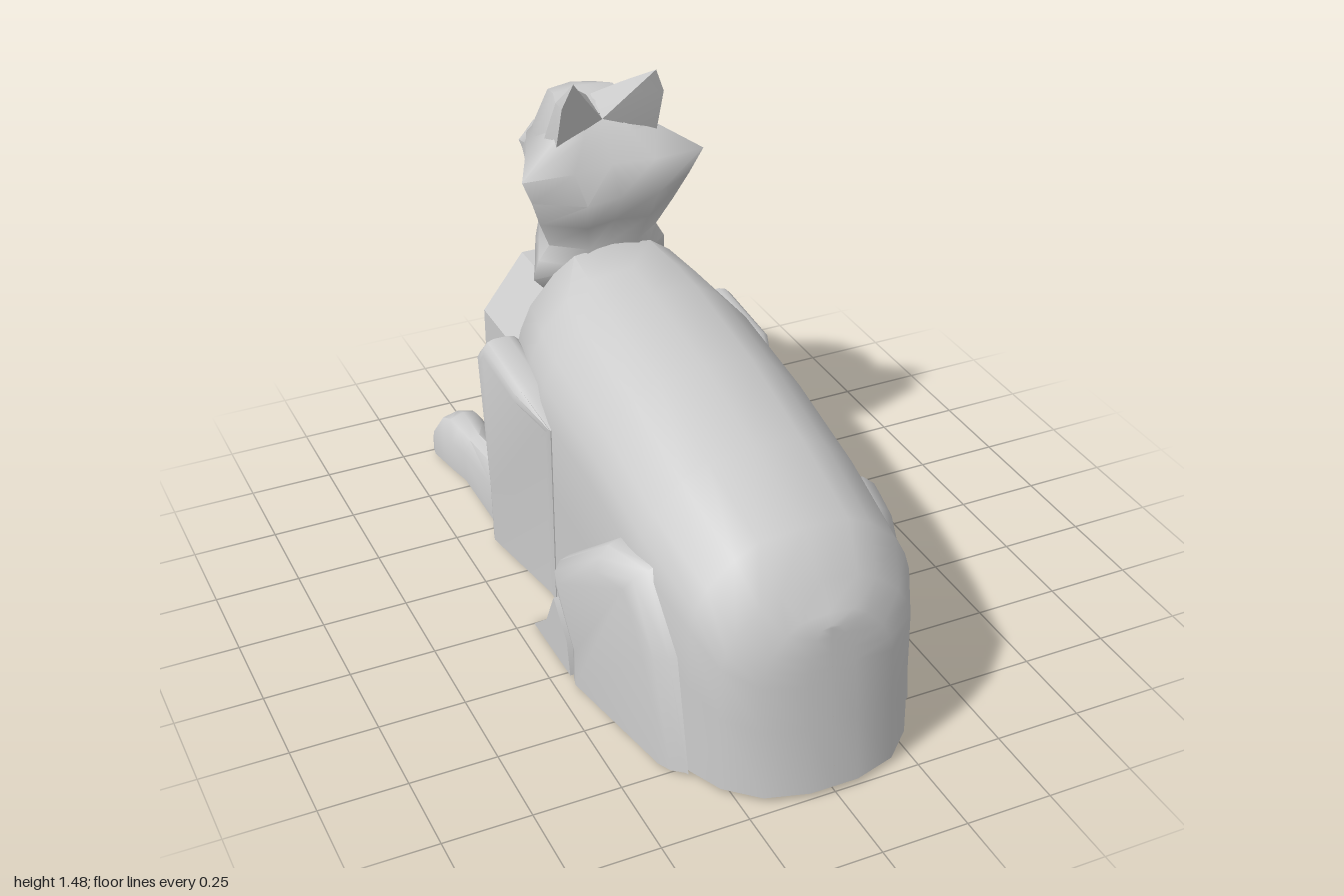
import * as THREE from 'three';
import { toCreasedNormals } from 'three/addons/utils/BufferGeometryUtils.js';

const material = new THREE.MeshStandardMaterial({ color: 0xcccccc, side: THREE.DoubleSide });

function part(parent, name, geometry, crease = 0.7) {
  const mesh = new THREE.Mesh(toCreasedNormals(geometry, crease), material);
  mesh.name = name;
  parent.add(mesh);
  return mesh;
}

// Skin over rings of [x, y, z] points; closed joins each ring's ends, caps fill the end rings
function loft(rings, closed = true, caps = true) {
  const n = rings[0].length, index = [];
  for (let r = 0; r < rings.length - 1; r++) {
    for (let i = 0; i < (closed ? n : n - 1); i++) {
      const j = (i + 1) % n, a = r * n, b = a + n;
      index.push(a + i, a + j, b + j, a + i, b + j, b + i);
    }
  }
  if (caps) {
    const last = (rings.length - 1) * n;
    for (let i = 1; i < n - 1; i++) index.push(0, i + 1, i, last, last + i, last + i + 1);
  }
  const g = new THREE.BufferGeometry();
  g.setAttribute('position', new THREE.Float32BufferAttribute(rings.flat(2), 3));
  g.setIndex(index);
  return g;
}

// Mirror a half section (from +x side to the centre line) into a full one
function mirrored(half) {
  const other = half.filter((p) => p[0] > 1e-6).map(([x, y, z]) => [-x, y, z]).reverse();
  return [...half, ...other];
}

// Side outline of [z, y] points, thickened from x0 to x1
function slab(points, x0, x1, bevel = 0) {
  const shape = new THREE.Shape(points.map(([z, y]) => new THREE.Vector2(-z, y)));
  const g = new THREE.ExtrudeGeometry(shape, {
    depth: x1 - x0 - bevel, bevelEnabled: bevel > 0, bevelSize: bevel,
    bevelThickness: bevel, bevelOffset: -bevel, bevelSegments: 3,
  });
  return g.rotateY(Math.PI / 2).translate(x0, 0, 0);
}

// Move each vertex by a rule, then leave out triangles lying flat on the ground
function warpOpen(g, ground, rule) {
  const p = g.attributes.position, v = new THREE.Vector3(), kept = [];
  for (let t = 0; t < p.count; t += 3) {
    const corners = [];
    for (let i = t; i < t + 3; i++) {
      v.fromBufferAttribute(p, i);
      rule(v);
      corners.push(v.x, Math.max(v.y, ground), v.z);
    }
    if (Math.max(corners[1], corners[4], corners[7]) > ground) kept.push(...corners);
  }
  const open = new THREE.BufferGeometry();
  open.setAttribute('position', new THREE.Float32BufferAttribute(kept, 3));
  return open;
}

function addBody(group) {
  const outline = [[1, 0], [1, 0.4], [1, 0.67], [0.95, 0.75], [0.85, 0.835], [0.61, 0.935], [0.4, 0.985], [0, 1]];
  // z at the top, height, half width, shift of the foot along z
  const sections = [
    [-0.46, 0.9, 0.26, -0.07], [-0.42, 0.94, 0.3, -0.1], [-0.28, 0.93, 0.33, -0.04],
    [-0.15, 0.915, 0.35, 0], [0.2, 0.865, 0.345, 0],
    [0.5, 0.78, 0.345, 0], [0.78, 0.7, 0.32, 0], [0.87, 0.59, 0.275, 0.01],
    [0.92, 0.525, 0.19, 0.04], [0.94, 0.5, 0.07, 0.055], [0.94, 0.5, 0.00001, 0.055],
  ];
  const rings = sections.map(([z, h, w, lean]) => mirrored(
    outline.map(([x, y]) => [x * w, 0.015 + y * (h - 0.015), z + lean * (1 - y)])));
  part(group, 'body', loft(rings, false, false), 0.9);
}

function addHead(group) {
  // Throat, ruff and crown in level rings: y, back z, side z, front z, half width
  const levels = [
    [0.76, -0.5, -0.55, -0.73, 0.16], [0.82, -0.43, -0.52, -0.77, 0.21], [0.89, -0.4, -0.5, -0.75, 0.2],
    [0.94, -0.415, -0.49, -0.76, 0.17], [1.03, -0.375, -0.455, -0.76, 0.21], [1.12, -0.335, -0.42, -0.74, 0.245],
    [1.2, -0.39, -0.4, -0.72, 0.28], [1.275, -0.445, -0.46, -0.69, 0.16], [1.34, -0.53, -0.56, -0.66, 0.09],
  ];
  part(group, 'neckAndRuff', loft(levels.map(([y, back, side, front, w]) => mirrored([
    [0, y, back - 0.02], [w * 0.45, y, back], [w, y, side],
    [w * 0.74, y, side + (front - side) * 0.5], [w * 0.5, y, front], [0, y, front],
  ]))), 1.3);

  // Brow and muzzle: z, bottom, top, half width, height of widest point, relative top width
  const sections = [
    [-0.5, 0.97, 1.32, 0.2, 1.18, 0.6], [-0.62, 0.95, 1.36, 0.185, 1.16, 0.5],
    [-0.72, 0.96, 1.33, 0.155, 1.15, 0.45], [-0.79, 0.975, 1.27, 0.125, 1.12, 0.45],
    [-0.86, 0.965, 1.17, 0.075, 1.08, 0.5], [-0.92, 0.97, 1.135, 0.09, 1.08, 0.5],
    [-0.955, 0.985, 1.125, 0.06, 1.08, 0.5], [-0.995, 1.09, 1.11, 0.012, 1.1, 0.5],
  ];
  part(group, 'muzzle', loft(sections.map(([z, lo, hi, w, mid, t]) => mirrored([
    [0, lo, z], [w * 0.6, lo + 0.01, z], [w, mid, z], [w * t, hi - 0.01, z], [0, hi, z],
  ]))), 0.9);

  // Broad ears swept back
  const base = [[0, 1.31, -0.48], [0.155, 1.26, -0.45], [0.155, 1.24, -0.55], [0, 1.34, -0.59]];
  const mid = [[0.07, 1.4, -0.43], [0.155, 1.4, -0.4], [0.145, 1.39, -0.47], [0.07, 1.405, -0.5]];
  const tip = base.map(() => [0.125, 1.475, -0.385]);
  for (const side of [1, -1]) {
    part(group, side > 0 ? 'leftEar' : 'rightEar', loft([base, mid, tip]), 0.8).scale.x = side;
  }
}

function addLegs(group, side) {
  const legs = new THREE.Group();
  legs.name = side > 0 ? 'leftLegs' : 'rightLegs';
  legs.scale.x = side;
  group.add(legs);

  // Shoulder block, blending back into the flank
  const shoulder = slab([[-0.06, -0.15], [-0.06, 0.6], [-0.2, 0.67], [-0.46, 0.69], [-0.53, 0.62],
    [-0.47, 0.2], [-0.46, -0.15]], 0.32, 0.405, 0.04);
  part(legs, 'shoulder', warpOpen(shoulder, 0.015, (v) => {
    if (v.z > -0.18) v.x = Math.min(v.x, 0.352);
  }), 0.8);

  // Forearm and paw, open underneath: z, inner x, outer x, top
  const arm = [[-0.4, 0.27, 0.38, 0.22], [-0.52, 0.27, 0.37, 0.21], [-0.77, 0.265, 0.37, 0.17],
    [-0.84, 0.255, 0.385, 0.175], [-0.9, 0.25, 0.395, 0.18], [-0.955, 0.24, 0.405, 0.155], [-0.985, 0.245, 0.4, 0.09]];
  part(legs, 'forearmAndPaw', loft(arm.map(([z, a, b, h]) => {
    const w = b - a;
    return [[b, 0.012, z], [b, h * 0.65, z], [b - w * 0.2, h * 0.92, z],
      [a + w * 0.5, h, z], [a + w * 0.2, h * 0.92, z], [a, h * 0.65, z], [a, 0.012, z]];
  }), false), 0.8);

  // Haunch, narrowing toward the tail end and the top
  const haunch = slab([[0.79, -0.2], [0.72, 0.35], [0.58, 0.545], [0.41, 0.535], [0.13, 0.31],
    [0.13, 0.24], [0.25, 0.1], [0.25, -0.2]], 0.34, 0.45, 0.07);
  part(legs, 'haunch', warpOpen(haunch, 0.01, (v) => {
    v.x -= Math.max(0, v.z - 0.42) * 0.24 + Math.max(0, v.y - 0.4) * 0.25;
    v.x = Math.max(v.x, 0.325);
  }), 0.8);

  part(legs, 'hindFoot', slab([[0.27, 0.005], [0.25, 0.11], [0.16, 0.2], [0.1, 0.085], [0, 0]], 0.33, 0.445));
}

function addHouse(group) {
  // Walls and roof with an arched passage
  const wall = new THREE.Shape([[-0.28, 0.13], [0.28, 0.13], [0.28, 0.61], [0.15, 0.78], [-0.15, 0.78], [-0.28, 0.61]]
    .map(([x, y]) => new THREE.Vector2(x, y)));
  const door = new THREE.Path();
  door.moveTo(-0.17, 0.14);
  door.lineTo(-0.17, 0.5);
  door.absellipse(0, 0.5, 0.17, 0.17, Math.PI, 0, true);
  door.lineTo(0.17, 0.14);
  door.closePath();
  wall.holes.push(door);
  const house = new THREE.ExtrudeGeometry(wall, { depth: 0.9, bevelEnabled: false, curveSegments: 4 });
  part(group, 'house', house.translate(0, 0, -0.77), 0.2);

  // Stairs between the front paws, running on as a rising floor
  const count = 6, profile = [[0.48, 0.35], [-0.95, 0.02]];
  for (let i = 0; i < count; i++) {
    const z = -0.95 + i * 0.03, y = 0.02 + i * 0.021;
    profile.push([z, y + 0.021], [z + 0.03, y + 0.021]);
  }
  profile.push([0.48, 0.37]);
  part(group, 'stairsAndFloor', slab(profile, -0.26, 0.26), 0.2);
}

export function createModel() {
  const group = new THREE.Group();
  group.name = 'recliningAnimalHouse';
  addBody(group);
  addHead(group);
  addLegs(group, 1);
  addLegs(group, -1);
  addHouse(group);
  return group;
}
